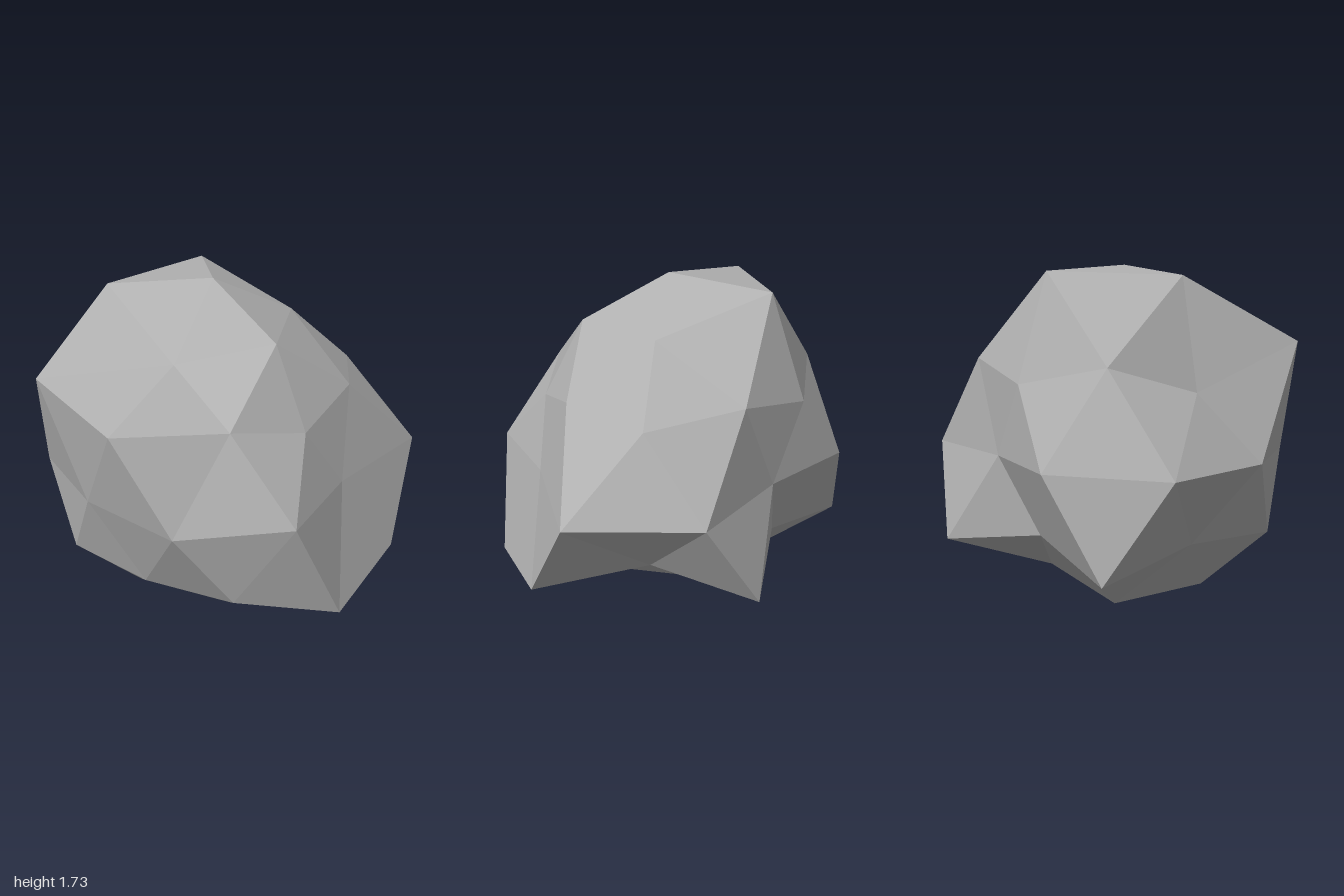
import * as THREE from 'three';
import { ConvexGeometry } from 'three/addons/geometries/ConvexGeometry.js';

// Rings of a once-divided icosphere standing on its pole:
// height on the unit sphere, first angle in degrees (0 = +x, 90 = +z),
// and the distance of each corner from the centre, evenly spaced round.
const RINGS = [
  [1, 0, [0.96]],
  [0.8507, 0, [0.866, 0.858, 0.735, 1.056, 1.081]],
  [0.5257, 36, [0.837, 0.813, 1.1, 0.905, 0.912]],
  [0.4472, 0, [0.918, 0.74, 1.058, 0.768, 0.852]],
  [0, 18, [1.119, 0.755, 0.93, 0.946, 0.838, 0.888, 1.05, 0.936, 0.736, 1.018]],
  [-0.4472, 36, [1.114, 0.935, 0.902, 1.102, 1.073]],
  [-0.5257, 0, [0.758, 1.107, 0.828, 0.77, 0.738]],
  [-0.8507, 36, [0.75, 0.825, 0.857, 0.875, 0.765]],
  [-1, 0, [0.765]],
];

function createRockGeometry() {
  const corners = [];
  for (const [y, start, radii] of RINGS) {
    const ring = Math.sqrt(Math.max(0, 1 - y * y));
    radii.forEach((radius, i) => {
      const a = THREE.MathUtils.degToRad(start + (i * 360) / radii.length);
      const dir = new THREE.Vector3(ring * Math.cos(a), y, ring * Math.sin(a)).normalize();
      corners.push({ dir, radius });
    });
  }

  // The hull of the unit directions gives the 80 outward triangles
  const geometry = new ConvexGeometry(corners.map((c) => c.dir));
  const pos = geometry.attributes.position;
  const v = new THREE.Vector3();

  // Push every corner in or out along its direction
  for (let i = 0; i < pos.count; i++) {
    v.fromBufferAttribute(pos, i);
    let best = corners[0];
    for (const c of corners) if (c.dir.dot(v) > best.dir.dot(v)) best = c;
    v.copy(best.dir).multiplyScalar(best.radius);
    pos.setXYZ(i, v.x, v.y, v.z);
  }
  geometry.computeVertexNormals();
  return geometry;
}

export function createModel() {
  const model = new THREE.Group();
  model.name = 'boulder';

  const stone = new THREE.MeshStandardMaterial({ color: 0xb0b0b0, flatShading: true });
  stone.name = 'stone grey';

  const rock = new THREE.Mesh(createRockGeometry(), stone);
  rock.name = 'rock';
  rock.position.set(-0.064, 0.765, 0);
  model.add(rock);
  return model;
}
